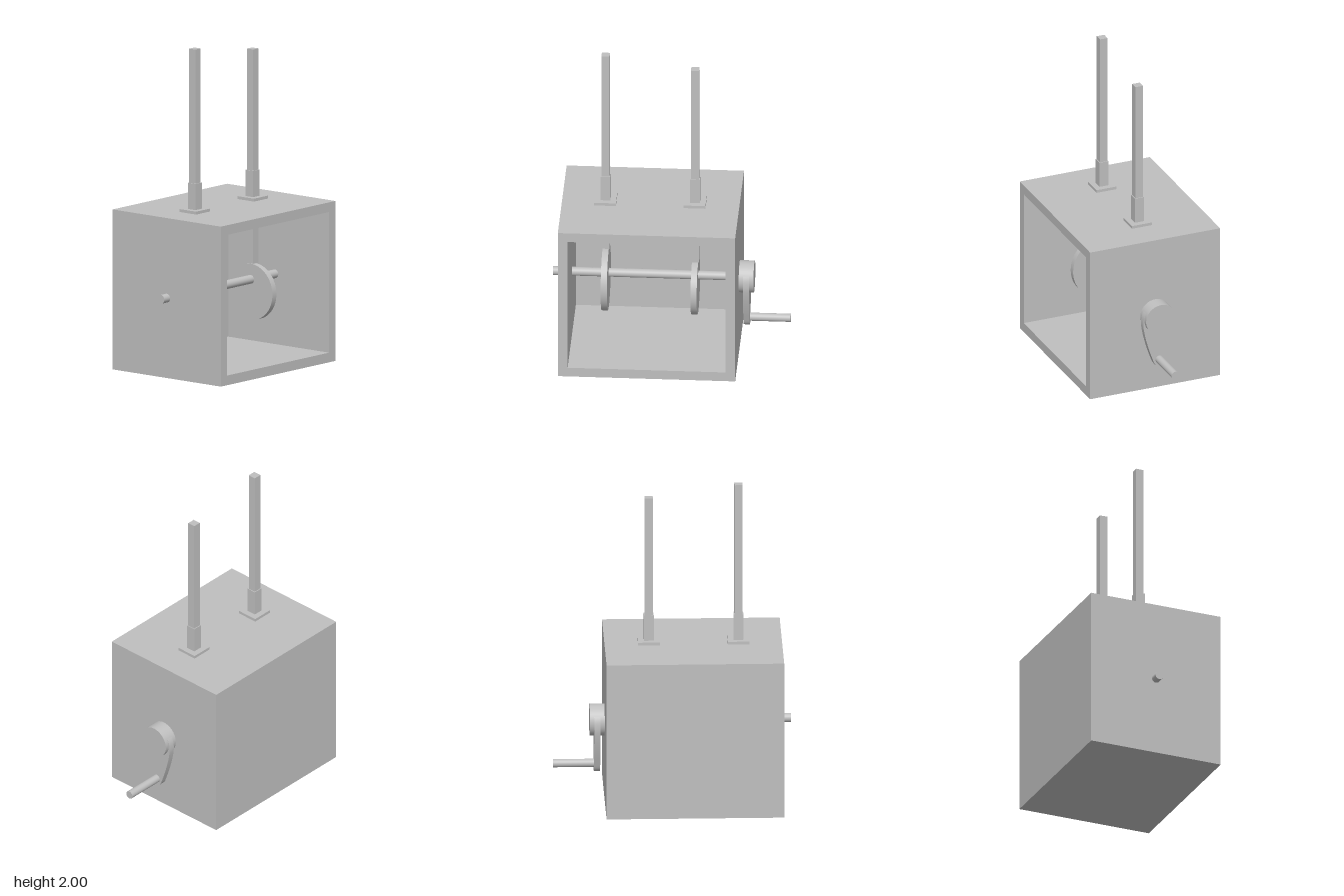
import * as THREE from 'three';
import { toCreasedNormals } from 'three/addons/utils/BufferGeometryUtils.js';

export function createModel() {
  const model = new THREE.Group();
  const grey = new THREE.MeshStandardMaterial({ color: 0xbfbfbf });
  grey.name = 'grey';

  const add = (name, geometry, x = 0, y = 0, z = 0, parent = model) => {
    const mesh = new THREE.Mesh(geometry, grey);
    mesh.name = name;
    mesh.position.set(x, y, z);
    parent.add(mesh);
    return mesh;
  };
  // Box and round bar given by their extents
  const block = (name, w, y0, y1, x, parent) =>
    add(name, new THREE.BoxGeometry(w, y1 - y0, w), x, (y0 + y1) / 2, 0, parent);
  const bar = (name, r, x0, x1, y, parent) =>
    add(name, new THREE.CylinderGeometry(r, r, x1 - x0, 48).rotateZ(Math.PI / 2), (x0 + x1) / 2, y, 0, parent);
  const rectangle = (Type, x0, x1, y0, y1) => new Type([
    new THREE.Vector2(x0, y0), new THREE.Vector2(x1, y0),
    new THREE.Vector2(x1, y1), new THREE.Vector2(x0, y1),
  ]);

  // Case: four walls around an open front, and a back panel
  const box = new THREE.Group();
  box.name = 'case';
  model.add(box);
  const walls = rectangle(THREE.Shape, -0.67, 0.41, 0, 0.99);
  walls.holes.push(rectangle(THREE.Path, -0.61, 0.35, 0.06, 0.93));
  add('caseWalls', new THREE.ExtrudeGeometry(walls, { depth: 0.8, bevelEnabled: false }), 0, 0, -0.37, box);
  add('backPanel', new THREE.BoxGeometry(1.08, 0.99, 0.06), -0.13, 0.495, -0.4, box);

  // Drive shaft through the case
  bar('shaft', 0.027, -0.725, 0.42, 0.495);

  // Off-centre cams, each lifting a square follower rod through a guide
  const lifts = [
    { side: 'right', x: -0.405, camY: 0.458, camR: 0.2, bottom: 0.67, top: 2 },
    { side: 'left', x: 0.14, camY: 0.418, camR: 0.173, bottom: 0.594, top: 1.92 },
  ];
  for (const { side, x, camY, camR, bottom, top } of lifts) {
    const lift = new THREE.Group();
    lift.name = `${side}Lift`;
    model.add(lift);
    bar(`${side}Cam`, camR, x - 0.019, x + 0.019, camY, lift);
    block(`${side}Rod`, 0.05, bottom, top, x, lift);
    block(`${side}GuideFlange`, 0.132, 0.985, 1.008, x, lift);
    block(`${side}GuideSleeve`, 0.06, 1, 1.17, x, lift);
  }

  // Crank: hub, tapered arm and handle
  const crank = new THREE.Group();
  crank.name = 'crank';
  model.add(crank);
  bar('crankHub', 0.098, 0.405, 0.5, 0.495, crank);
  const edge = [[0, 0.59], [0.06, 0.57], [0.095, 0.525], [0.105, 0.47], [0.098, 0.41],
    [0.076, 0.32], [0.048, 0.235], [0.025, 0.182], [0, 0.165]];
  const outline = [...edge, ...edge.slice(1, -1).reverse().map(([z, y]) => [-z, y])];
  const curve = new THREE.CatmullRomCurve3(outline.map(([z, y]) => new THREE.Vector3(z, y, 0)), true);
  const armShape = new THREE.Shape(curve.getPoints(80).slice(0, -1).map((p) => new THREE.Vector2(p.x, p.y)));
  const arm = new THREE.ExtrudeGeometry(armShape, { depth: 0.038, bevelEnabled: false }).rotateY(Math.PI / 2);
  add('crankArm', toCreasedNormals(arm, 0.6), 0.436, 0, 0, crank);
  bar('crankHandle', 0.025, 0.46, 0.722, 0.217, crank);

  return model;
}
